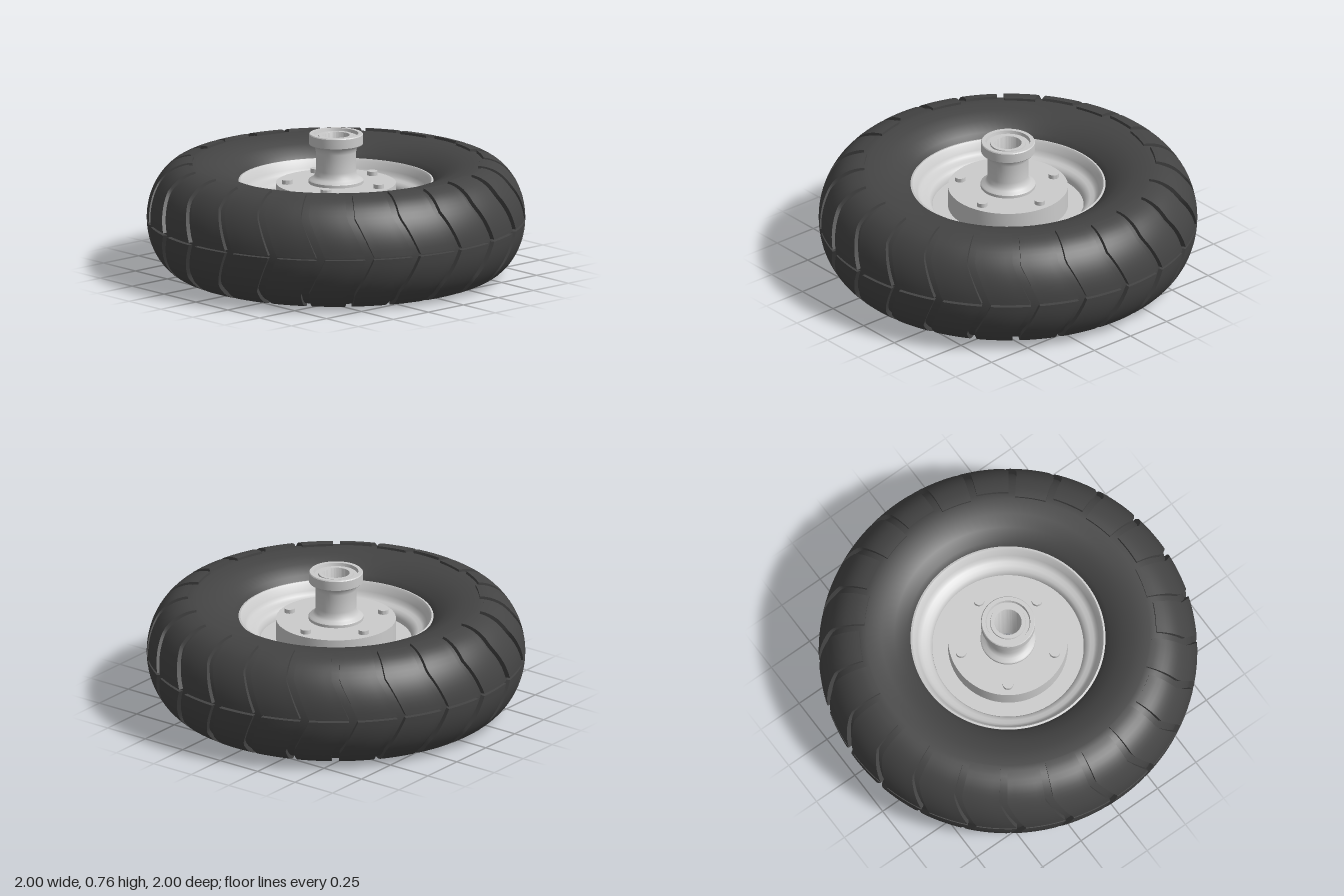
import * as THREE from 'three';
import { mergeGeometries, toCreasedNormals } from 'three/addons/utils/BufferGeometryUtils.js';

const metal = new THREE.MeshStandardMaterial({ color: 0xcccccc, side: THREE.DoubleSide });
const rubber = new THREE.MeshStandardMaterial({ color: 0x444444, side: THREE.DoubleSide });
const RAD = Math.PI / 180;
const MID = 0.302; // mid height of the tyre

// Revolve a list of [radius, height] points about the axle
function lathe(name, pts, material, crease = 0.5, segments = 96) {
  const geo = new THREE.LatheGeometry(pts.map(([r, y]) => new THREE.Vector2(r, y)), segments);
  const mesh = new THREE.Mesh(toCreasedNormals(geo, crease), material);
  mesh.name = name;
  return mesh;
}

function cylinder(name, r, y0, y1, sides, material) {
  const geo = new THREE.CylinderGeometry(r, r, y1 - y0, sides);
  const mesh = new THREE.Mesh(toCreasedNormals(geo, 0.7), material);
  mesh.name = name;
  mesh.position.y = (y0 + y1) / 2;
  return mesh;
}

// Point on the elliptical crown at section angle phi, raised by d
function crown(phi, d) {
  return [0.75 + (0.225 + d) * Math.cos(phi), MID + (0.292 + d * 0.8) * Math.sin(phi)];
}

function surface(theta, phi, d) {
  const [r, y] = crown(phi, d);
  return [r * Math.sin(theta), y, r * Math.cos(theta)];
}

// One half chevron: a raised patch of the crown with walls on its four sides
function lugGeometry(theta0, phi0, phi1) {
  const NU = 14, NT = 5, width = 0.215;
  const pos = [];
  const at = (i, j, sunk) => {
    const phi = phi0 + (phi1 - phi0) * j / NU;
    const a = Math.abs(phi) / RAD;
    const zigzag = 0.1 * (1 - Math.min(a / 42, 1));
    const raise = 0.025 - 0.01 * Math.max(0, (a - 60) / 30);
    return surface(theta0 + zigzag + width * (i / NT - 0.5), phi, sunk ? -0.012 : raise);
  };
  const quad = (a, b, c, d) => pos.push(...a, ...b, ...c, ...a, ...c, ...d);
  const wall = (i0, j0, i1, j1) =>
    quad(at(i0, j0, true), at(i1, j1, true), at(i1, j1), at(i0, j0));
  for (let j = 0; j < NU; j++) {
    for (let i = 0; i < NT; i++) quad(at(i, j), at(i + 1, j), at(i + 1, j + 1), at(i, j + 1));
    wall(NT, j, NT, j + 1);
    wall(0, j + 1, 0, j);
  }
  for (let i = 0; i < NT; i++) {
    wall(i, 0, i + 1, 0);
    wall(i + 1, NU, i, NU);
  }
  const geo = new THREE.BufferGeometry();
  geo.setAttribute('position', new THREE.Float32BufferAttribute(pos, 3));
  return toCreasedNormals(geo, 0.6);
}

function createTyre() {
  const tyre = new THREE.Group();
  tyre.name = 'tyre';

  // Carcass: upper and lower sidewalls joined by the crown
  const sidewall = [[0.49, 0.14], [0.505, 0.19], [0.54, 0.225], [0.6, 0.263], [0.67, 0.285]];
  const profile = sidewall.map(([r, h]) => [r, MID - h]);
  for (let a = -90; a <= 90; a += 7.5) profile.push(crown(a * RAD, 0));
  profile.push(...sidewall.map(([r, h]) => [r, MID + h]).reverse());
  tyre.add(lathe('carcass', profile, rubber, 1));

  // Chevron tread, with long and short shoulders alternating
  const lugs = [];
  const count = 24;
  for (let i = 0; i < count; i++) {
    const theta = (i / count) * Math.PI * 2;
    const end = i % 2 ? 88 : 82;
    lugs.push(lugGeometry(theta, 1.2 * RAD, end * RAD));
    lugs.push(lugGeometry(theta, (end - 170) * RAD, -1.2 * RAD));
  }
  const tread = new THREE.Mesh(mergeGeometries(lugs), rubber);
  tread.name = 'treadLugs';
  tyre.add(tread);
  return tyre;
}

function createRim() {
  const rim = new THREE.Group();
  rim.name = 'rim';
  // Barrel with a stepped seat and rolled lip at both ends
  rim.add(lathe('rimBarrel', [
    [0.52, 0.125], [0.515, 0.1], [0.505, 0.098], [0.495, 0.11], [0.48, 0.145], [0.47, 0.165],
    [0.455, 0.175], [0.435, 0.18], [0.415, 0.19], [0.403, 0.21], [0.4, 0.24],
    [0.4, 0.37], [0.403, 0.395], [0.415, 0.415], [0.435, 0.425], [0.455, 0.43],
    [0.47, 0.44], [0.48, 0.46], [0.495, 0.494], [0.505, 0.506], [0.515, 0.504], [0.52, 0.48],
  ], metal, 0.9));
  // Wheel disc across the barrel
  rim.add(lathe('wheelDisc', [
    [0.13, 0.35], [0.4, 0.35], [0.4, 0.375], [0.13, 0.375], [0.13, 0.35],
  ], metal));
  // Valve hole on the front of the barrel
  const valve = cylinder('valveHole', 0.022, -0.003, 0.003, 20, rubber);
  valve.rotation.x = Math.PI / 2;
  valve.position.set(0, 0.275, 0.397);
  rim.add(valve);
  return rim;
}

function createHub() {
  const hub = new THREE.Group();
  hub.name = 'hub';
  // Drum standing on the wheel disc
  hub.add(lathe('drum', [
    [0.1, 0.37], [0.317, 0.37], [0.317, 0.49], [0.1, 0.49], [0.1, 0.37],
  ], metal));
  // Flared neck with bearing flange and open bore
  hub.add(lathe('axleHub', [
    [0.07, 0.385], [0.12, 0.385], [0.12, 0.345], [0.145, 0.345], [0.145, 0.505],
    [0.138, 0.512], [0.122, 0.52], [0.111, 0.535], [0.107, 0.56],
    [0.107, 0.66], [0.111, 0.68], [0.122, 0.693], [0.14, 0.698],
    [0.143, 0.702], [0.143, 0.752], [0.139, 0.757], [0.118, 0.757], [0.114, 0.74],
    [0.095, 0.74], [0.093, 0.748], [0.072, 0.748], [0.07, 0.744], [0.07, 0.385],
  ], metal, 0.6, 64));

  // Five bolts through the drum with washers and hex nuts below
  for (let i = 0; i < 5; i++) {
    const bolt = new THREE.Group();
    bolt.name = 'wheelBolt';
    const a = (i / 5) * Math.PI * 2;
    bolt.position.set(0.26 * Math.cos(a), 0, 0.26 * Math.sin(a));
    bolt.rotation.y = -a;
    bolt.add(
      cylinder('boltShank', 0.028, 0.25, 0.512, 24, metal),
      cylinder('washer', 0.052, 0.34, 0.352, 24, metal),
      cylinder('hexNut', 0.047, 0.28, 0.342, 6, metal),
    );
    hub.add(bolt);
  }
  return hub;
}

export function createModel() {
  const wheel = new THREE.Group();
  wheel.name = 'wheel';
  wheel.add(createTyre(), createRim(), createHub());
  return wheel;
}
